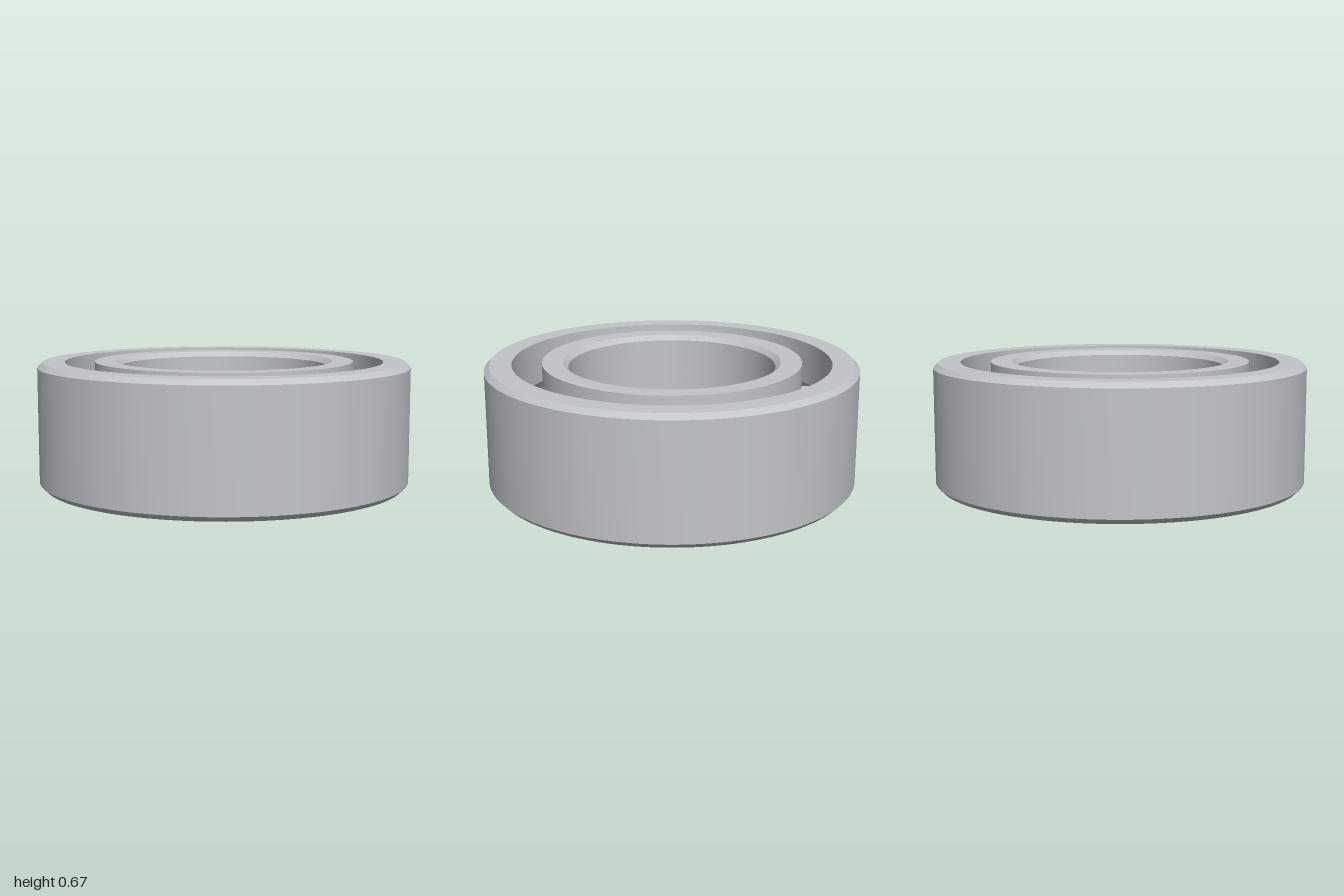
import * as THREE from 'three';
import { toCreasedNormals } from 'three/addons/utils/BufferGeometryUtils.js';

const HEIGHT = 0.667, MID = HEIGHT / 2, CHAMFER = 0.027;
const PITCH = 0.775, BALL_RADIUS = 0.125, BALLS = 14;

const steel = new THREE.MeshStandardMaterial({ color: 0xc2c5ca });
steel.name = 'steel';

// Arc of the ball groove in the ring profile, from angle a0 to a1
function groove(a0, a1, steps = 12) {
  const r = BALL_RADIUS + 0.001;
  return Array.from({ length: steps + 1 }, (_, i) => {
    const a = a0 + (a1 - a0) * i / steps;
    return [PITCH + r * Math.cos(a), MID + r * Math.sin(a)];
  });
}

// Revolve a closed counter-clockwise profile, keeping its edges sharp
function ring(name, profile) {
  const points = [...profile, profile[0]].map(([x, y]) => new THREE.Vector2(x, y));
  const mesh = new THREE.Mesh(toCreasedNormals(new THREE.LatheGeometry(points, 128), 0.5), steel);
  mesh.name = name;
  return mesh;
}

export function createModel() {
  const model = new THREE.Group();
  model.name = 'ballBearing';

  // Half angle at which the groove meets the ring shoulders
  const a = Math.acos(0.08 / (BALL_RADIUS + 0.001));

  // Outer ring: chamfered outside, grooved inside
  model.add(ring('outerRing', [
    [1 - CHAMFER, 0], [1, CHAMFER], [1, HEIGHT - CHAMFER], [1 - CHAMFER, HEIGHT],
    [0.855, HEIGHT], ...groove(a, -a), [0.855, 0],
  ]));

  // Inner ring: grooved outside, chamfered bore
  model.add(ring('innerRing', [
    [0.695, 0], ...groove(Math.PI + a, Math.PI - a), [0.695, HEIGHT],
    [0.555 + CHAMFER, HEIGHT], [0.555, HEIGHT - CHAMFER], [0.555, CHAMFER], [0.555 + CHAMFER, 0],
  ]));

  // Balls evenly spaced in the race
  const ballGeometry = new THREE.SphereGeometry(BALL_RADIUS, 48, 32);
  const balls = new THREE.Group();
  balls.name = 'balls';
  for (let i = 0; i < BALLS; i++) {
    const t = i / BALLS * Math.PI * 2;
    const ball = new THREE.Mesh(ballGeometry, steel);
    ball.name = 'ball';
    ball.position.set(PITCH * Math.cos(t), MID, PITCH * Math.sin(t));
    balls.add(ball);
  }
  model.add(balls);
  return model;
}
